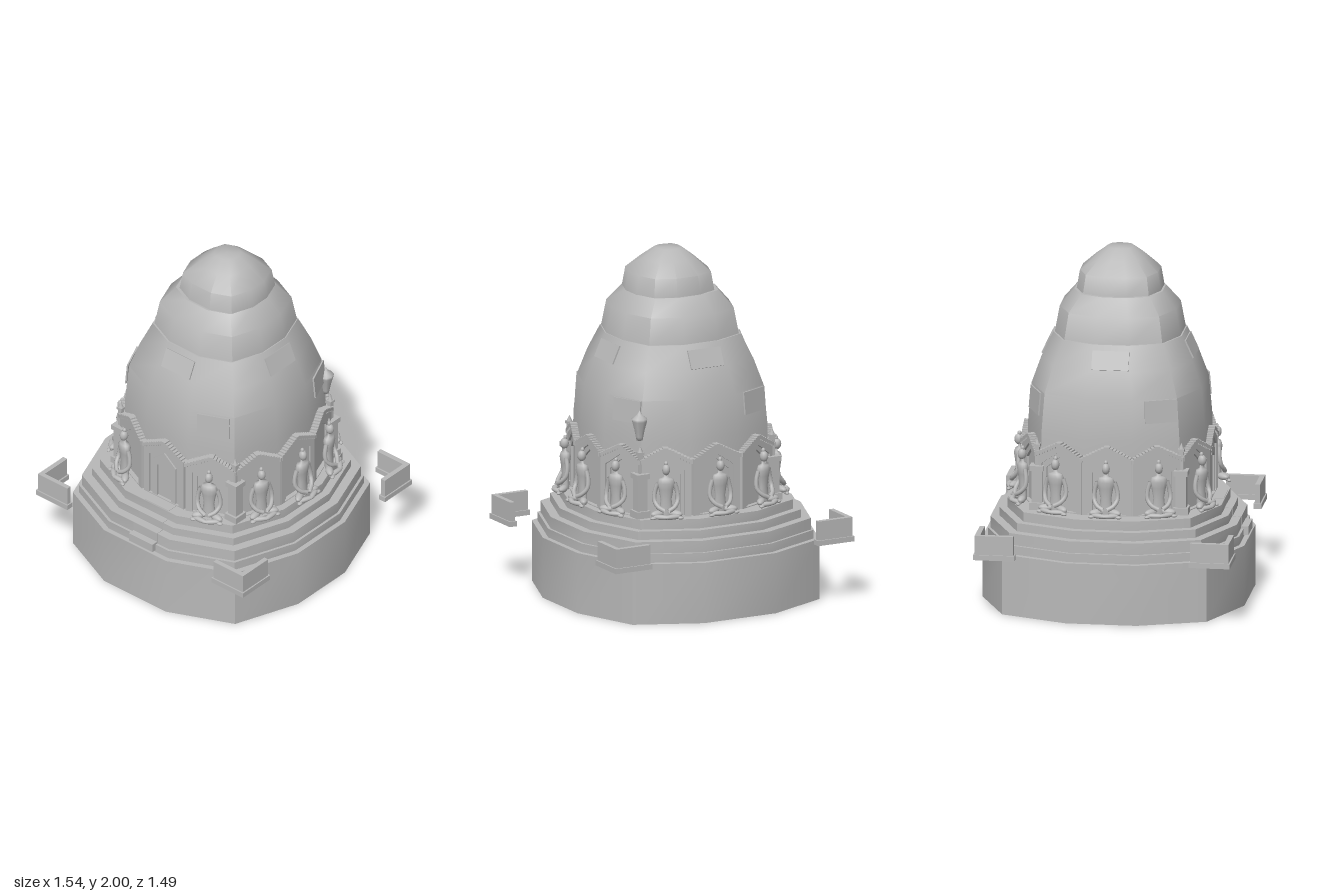
import * as THREE from 'three';
import { toCreasedNormals } from 'three/addons/utils/BufferGeometryUtils.js';

const stone = new THREE.MeshStandardMaterial({ color: 0xb8b8b8, side: THREE.DoubleSide });
stone.name = 'grey stone';

// Twelve-sided plan, running from the front towards +x
const quarter = [[0.31, 1], [0.81, 0.78], [1, 0.27]];
const flip = (pts, sx, sz) => pts.map(([x, z]) => [x * sx, z * sz]);
const plan = [
  ...quarter, ...flip([...quarter].reverse(), 1, -1),
  ...flip(quarter, -1, -1), ...flip([...quarter].reverse(), -1, 1),
];

function add(parent, name, geometry, x = 0, y = 0, z = 0) {
  const mesh = new THREE.Mesh(geometry, stone);
  mesh.name = name;
  mesh.position.set(x, y, z);
  parent.add(mesh);
  return mesh;
}
const box = (parent, name, w, h, d, x, y, z) => add(parent, name, new THREE.BoxGeometry(w, h, d), x, y, z);

function group(parent, name, x = 0, y = 0, z = 0, turn = 0) {
  const g = new THREE.Group();
  g.name = name;
  g.position.set(x, y, z);
  g.rotation.y = turn;
  parent.add(g);
  return g;
}

// Stacks the plan along a profile of [radius, height]
function loft(profile) {
  const pos = [], index = [], n = plan.length;
  for (const [r, y] of profile) for (const [x, z] of plan) pos.push(x * r, y, z * r);
  for (let j = 0; j < profile.length - 1; j++) {
    for (let i = 0; i < n; i++) {
      const a = j * n + i, b = j * n + (i + 1) % n;
      index.push(a, b, b + n, a, b + n, a + n);
    }
  }
  const g = new THREE.BufferGeometry();
  g.setAttribute('position', new THREE.Float32BufferAttribute(pos, 3));
  g.setIndex(index);
  return toCreasedNormals(g, 0.75);
}

// Pointed panel outline, optionally with a smaller pointed opening
function gablePath(C, half, eave, apex, foot) {
  const p = new C();
  p.moveTo(-half, foot);
  p.lineTo(half, foot);
  p.lineTo(half, eave);
  p.lineTo(0, apex);
  p.lineTo(-half, eave);
  p.closePath();
  return p;
}
function gable(outer, inner, depth) {
  const s = gablePath(THREE.Shape, ...outer, 0.565);
  if (inner) s.holes.push(gablePath(THREE.Path, ...inner, 0.575));
  return new THREE.ExtrudeGeometry(s, { depth, bevelEnabled: false });
}

// Seated figure with folded legs
function statue(parent) {
  const g = group(parent, 'seatedStatue', 0, 0.572, 0.035);
  const ball = new THREE.SphereGeometry(1, 12, 8);
  const blob = (name, x, y, z, a, b, c) => {
    const m = add(g, name, ball, x, y, z);
    m.scale.set(a, b, c);
    return m;
  };
  const v = (x, y, z) => new THREE.Vector3(x, y, z);
  const torso = [[0.036, 0.02], [0.038, 0.05], [0.031, 0.11], [0.042, 0.17], [0.051, 0.205], [0.04, 0.23], [0.014, 0.24], [0.013, 0.265]];
  add(g, 'torso', new THREE.LatheGeometry(torso.map(p => new THREE.Vector2(...p)), 12)).scale.z = 0.62;
  blob('head', 0, 0.282, 0.004, 0.023, 0.032, 0.025);
  blob('topknot', 0, 0.317, 0, 0.011, 0.014, 0.011);
  for (const s of [-1, 1]) {
    blob('thigh', s * 0.05, 0.03, 0.02, 0.045, 0.02, 0.023).rotation.y = -s * 0.5;
    blob('shin', s * 0.035, 0.018, 0.052, 0.058, 0.014, 0.016).rotation.y = s * 0.35;
    const arm = new THREE.CatmullRomCurve3([
      v(s * 0.048, 0.205, 0), v(s * 0.064, 0.15, -0.002), v(s * 0.066, 0.105, 0.006),
      v(s * 0.045, 0.07, 0.03), v(s * 0.012, 0.052, 0.044),
    ]);
    add(g, 'arm', new THREE.TubeGeometry(arm, 10, 0.013, 7));
    blob('foot', s * 0.078, 0.012, 0.05, 0.018, 0.009, 0.012);
  }
}

// One bay of the niche ring: nested frames, stepped gable, door or statue
function bay(parent, x, z, turn, isDoor) {
  const g = group(parent, isDoor ? 'doorBay' : 'nicheBay', x, 0, z, turn);
  add(g, 'outerFrame', gable([0.148, 0.885, 0.955], [0.11, 0.84, 0.915], 0.04), 0, 0, -0.04);
  add(g, 'innerFrame', gable([0.115, 0.845, 0.92], [0.085, 0.815, 0.885], 0.03), 0, 0, -0.042);
  add(g, 'nicheBack', gable([0.09, 0.82, 0.89], null, 0.01), 0, 0, -0.036);
  const n = 9;
  for (let i = 0; i < n; i++) {
    const t = (i + 0.5) / n;
    for (const s of [-1, 1]) box(g, 'gableBrick', 0.0172, 0.024, 0.044, s * 0.154 * (1 - t), 0.885 + 0.078 * t, -0.014);
  }
  if (isDoor) {
    add(g, 'doorFrame', gable([0.085, 0.815, 0.885], [0.052, 0.785, 0.825], 0.024), 0, 0, -0.028);
    add(g, 'doorLeaf', gable([0.055, 0.79, 0.83], null, 0.012), 0, 0, -0.028);
  } else statue(g);
}

export function createModel() {
  const model = new THREE.Group();
  model.name = 'domedShrine';

  // Hollow drum and stepped terraces
  const base = group(model, 'base', -0.022, 0, -0.003);
  add(base, 'drum', loft([[0.745, 0], [0.745, 0.35], [0.70, 0.35]]));
  add(base, 'terraces', loft([
    [0.715, 0.35], [0.715, 0.4], [0.70, 0.4], [0.70, 0.467], [0.65, 0.467],
    [0.65, 0.515], [0.608, 0.515], [0.608, 0.57], [0.45, 0.57],
  ]));

  // Underside: two ceilings with square openings and a beam lattice
  const ceiling = (name, outline, half, y) => {
    const s = new THREE.Shape(outline.map(p => new THREE.Vector2(...p)));
    s.holes.push(new THREE.Path([[-1, -1], [1, -1], [1, 1], [-1, 1]].map(p => new THREE.Vector2(p[0] * half, p[1] * half))));
    add(base, name, new THREE.ShapeGeometry(s), 0, y, 0).rotation.x = Math.PI / 2;
  };
  ceiling('lowerCeiling', flip(plan, 0.744, 0.744), 0.4, 0.345);
  ceiling('upperCeiling', [[-0.4, -0.4], [0.4, -0.4], [0.4, 0.4], [-0.4, 0.4]], 0.27, 0.45);
  for (const s of [-1, 1]) {
    box(base, 'pitWall', 0.8, 0.105, 0.01, 0, 0.3975, s * 0.4);
    box(base, 'pitWall', 0.01, 0.105, 0.8, s * 0.4, 0.3975, 0);
  }
  for (let i = -2; i <= 2; i++) {
    box(base, 'beam', 0.03, 0.03, 0.8, i * 0.11, 0.54, 0);
    box(base, 'crossBeam', 0.8, 0.025, 0.025, 0, 0.57, i * 0.11);
  }

  // Bell-shaped body in three tiers
  add(model, 'body', loft([[0.5, 0.56], [0.505, 0.8], [0.503, 1.0], [0.483, 1.23], [0.43, 1.38], [0.365, 1.52], [0.32, 1.52]]), 0.01, 0, 0);
  add(model, 'middleTier', loft([[0.358, 1.515], [0.33, 1.67], [0.25, 1.765], [0.2, 1.765]]), 0.013, 0, 0);
  add(model, 'crown', loft([[0.24, 1.762], [0.222, 1.87], [0.14, 1.945], [0.07, 2], [0, 2]]), 0.025, 0, 0);

  // Plates on the body, four high and four low
  for (let k = 0; k < 4; k++) {
    const side = group(model, 'bodyPlates', 0.01, 0, 0, k * Math.PI / 2);
    box(side, 'highPlate', 0.21, 0.11, 0.009, 0, 1.44, 0.407).rotation.x = -0.43;
    const low = group(side, 'lowPlateMount', 0.29, 1.165, 0.437, Math.atan2(0.22, 0.5));
    box(low, 'lowPlate', 0.19, 0.13, 0.009, 0, 0, 0.008).rotation.x = -0.087;
  }

  // Ring of niches, with the door at the front
  const ring = group(model, 'nicheRing', 0.01, 0, -0.003);
  const R = 0.535;
  plan.forEach(([ax, az], i) => {
    const [bx, bz] = plan[(i + 1) % plan.length];
    bay(ring, (ax + bx) / 2 * R, (az + bz) / 2 * R, Math.atan2(az - bz, bx - ax), i === plan.length - 1);
  });

  // Corner pillars with pinnacles
  for (const sx of [-1, 1]) for (const sz of [-1, 1]) {
    const p = group(ring, 'cornerPillar', sx * 0.425, 0, sz * 0.41);
    box(p, 'pillarFoot', 0.085, 0.04, 0.085, 0, 0.59, 0);
    box(p, 'pillarShaft', 0.06, 0.2, 0.06, 0, 0.7, 0);
    box(p, 'pillarCap', 0.08, 0.03, 0.08, 0, 0.81, 0);
    box(p, 'pinnacle', 0.025, 0.12, 0.025, 0, 0.88, 0);
    box(p, 'pinnacleCap', 0.036, 0.015, 0.036, 0, 0.94, 0);
    add(p, 'pinnacleTip', new THREE.ConeGeometry(0.016, 0.035, 6), 0, 0.965, 0);
  }

  // Urn above the back left corner
  const urn = [[0, 1.01], [0.018, 1.01], [0.022, 1.03], [0.03, 1.07], [0.044, 1.12], [0.046, 1.135], [0.025, 1.15], [0.012, 1.165], [0, 1.185]];
  add(model, 'urn', new THREE.LatheGeometry(urn.map(p => new THREE.Vector2(...p)), 8), 0.425, 0, -0.385);

  // Front stairs down the terraces
  [[0.57, 0.6], [0.515, 0.65], [0.467, 0.7], [0.41, 0.74]].forEach(([top, front]) =>
    box(model, 'stair', 0.175, top - 0.36, front - 0.535, 0.018, (top + 0.365) / 2, (front + 0.535) / 2));

  // L-shaped parapets standing off the four corners
  for (const sx of [-1, 1]) for (const sz of [-1, 1]) {
    const c = group(model, 'cornerParapet', sx * 0.77, 0, sz * 0.73);
    for (const [w, y0, y1, inset] of [[0.045, 0.35, 0.38, 0], [0.029, 0.38, 0.49, 0.008]]) {
      const len = 0.235 - 2 * inset, mid = 0.1175, h = y1 - y0, y = (y0 + y1) / 2;
      box(c, 'parapetAlongX', len, h, w, -sx * mid, y, -sz * 0.0225);
      box(c, 'parapetAlongZ', w, h, len, -sx * 0.0225, y, -sz * mid);
    }
  }
  return model;
}
